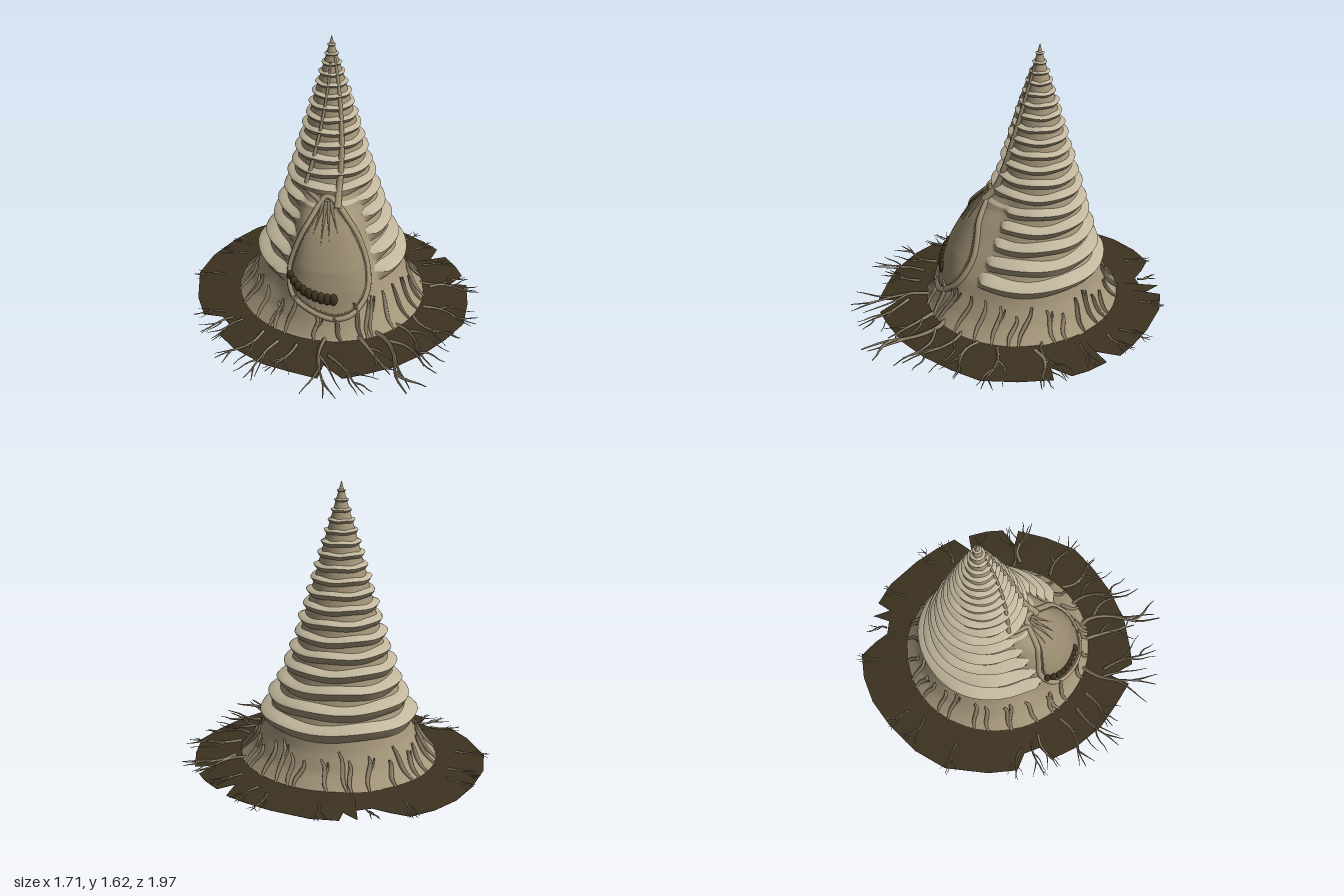
import * as THREE from 'three';

const V = (x, y, z) => new THREE.Vector3(x, y, z);
const mat = (name, color) => {
  const m = new THREE.MeshStandardMaterial({ color });
  m.name = name;
  return m;
};

// Piecewise linear lookup in [[key, value], ...]
function lookup(table, k) {
  if (k <= table[0][0]) return table[0][1];
  for (let i = 1; i < table.length; i++) {
    const [k0, v0] = table[i - 1], [k1, v1] = table[i];
    if (k <= k1) return v0 + (v1 - v0) * (k - k0) / (k1 - k0);
  }
  return table[table.length - 1][1];
}

// Shell rules: radius, centre line and the front swelling, all by height
const RADIUS = [[0, .59], [.03, .55], [.06, .52], [.1, .483], [.2, .428], [.3, .395], [.5, .31],
  [.7, .245], [1, .168], [1.3, .09], [1.62, 0]];
const CX = [[0, .02], [.3, .04], [.7, .06]];
const CZ = [[0, -.11], [.3, -.135], [.7, -.185], [1.62, -.19]];
const SWELL = [[.03, 0], [.1, .035], [.2, .065], [.3, .09], [.4, .115], [.5, .12], [.6, .105], [.7, .055], [.8, 0]];
const SWELL_AT = -.53, DOOR = -.45;
const wrap = a => Math.atan2(Math.sin(a), Math.cos(a));

// Point on the shell at angle a (0 = front, growing towards +x) and height y
function shellPoint(a, y, out = 0) {
  const d = wrap(a - SWELL_AT);
  const r = lookup(RADIUS, y) + out;
  const swell = lookup(SWELL, y) * Math.exp(-Math.pow(d / .6, 4));
  const zs = 1 + .06 * THREE.MathUtils.clamp(1 - y / .7, 0, 1);
  return V(lookup(CX, y) + Math.sin(a) * (r + swell), y,
    lookup(CZ, y) + Math.cos(a) * (r * zs + swell));
}

// Skin between closed rows of points
function loft(rows) {
  const n = rows[0].length, pos = [], idx = [];
  rows.forEach(row => row.forEach(p => pos.push(p.x, p.y, p.z)));
  for (let i = 0; i < rows.length - 1; i++)
    for (let j = 0; j < n; j++) {
      const k = (j + 1) % n, a = i * n + j, b = i * n + k, c = b + n, d = a + n;
      idx.push(a, b, c, a, c, d);
    }
  const g = new THREE.BufferGeometry();
  g.setAttribute('position', new THREE.Float32BufferAttribute(pos, 3));
  g.setIndex(idx);
  g.computeVertexNormals();
  return g;
}

// Tube whose radius follows shape(t)
function taperTube(points, radius, shape, seg = 12, sides = 6, closed = false) {
  const curve = new THREE.CatmullRomCurve3(points, closed);
  const g = new THREE.TubeGeometry(curve, seg, radius, sides, closed);
  const p = g.attributes.position, v = V(0, 0, 0);
  for (let i = 0; i <= seg; i++) {
    const c = curve.getPointAt(i / seg), s = shape(i / seg);
    for (let j = 0; j <= sides; j++) {
      const k = i * (sides + 1) + j;
      v.fromBufferAttribute(p, k).sub(c).multiplyScalar(s).add(c);
      p.setXYZ(k, v.x, v.y, v.z);
    }
  }
  g.computeVertexNormals();
  return g;
}

export function createModel() {
  const root = new THREE.Group();
  const shell = mat('shellTan', 0xa39579);
  const pale = mat('ridgeCream', 0xc2b79d);
  const plate = mat('plateTan', 0x988a6f);
  const fibre = mat('fibreTan', 0x8c7f67);
  const dark = mat('darkBrown', 0x3d3220);
  const add = (name, g, m, parent = root) => {
    const mesh = new THREE.Mesh(g, m);
    mesh.name = name;
    parent.add(mesh);
    return mesh;
  };
  const group = name => {
    const g = new THREE.Group();
    g.name = name;
    root.add(g);
    return g;
  };
  let seed = 7;
  const rnd = () => (seed = (seed * 16807) % 2147483647) / 2147483647;
  const N = 96, angles = Array.from({ length: N }, (_, i) => i / N * Math.PI * 2);

  // Conical shell with flared foot
  const levels = [];
  for (let i = 0; i <= 60; i++) levels.push(.012 + 1.608 * Math.pow(i / 60, 1.25));
  add('shell', loft(levels.map(y => angles.map(a => shellPoint(a, y)))), shell);

  // Overhanging ridges, fading out beside the door
  const ridges = group('ridges');
  for (let y = .315, step = .103; y < 1.57; y += step, step *= .956) {
    const h = lookup([[.3, .056], [.7, .04], [1, .029], [1.3, .02], [1.6, .008]], y);
    const low = 1 - THREE.MathUtils.smoothstep(y, .66, .78);
    const strip = (out, dy) => angles.map(a => {
      const d = Math.abs(wrap(a - DOOR));
      const f = 1 - low * (1 - THREE.MathUtils.smoothstep(d, .6, .8));
      const wave = h * .12 * Math.sin(a * 5 + y * 40);
      const reach = out > 0 ? out * h + wave : -.004;
      return shellPoint(a, y + dy * h + wave, reach * f - .006 * (1 - f));
    });
    add('ridgeUnderside', loft([strip(0, -1.1), strip(.3, -.75), strip(.7, -.35), strip(1, 0)]), shell, ridges);
    add('ridgeTop', loft([strip(1, 0), strip(.9, .22), strip(.45, .42), strip(0, .65)]), pale, ridges);
  }

  // Teardrop door: plate, raised rim and wrinkles
  const outline = [[-.62, .745], [-.82, .64], [-.99, .5], [-1.07, .37], [-1.0, .26], [-.72, .18],
    [-.42, .145], [-.2, .18], [-.02, .28], [.03, .4], [-.04, .53], [-.2, .65], [-.42, .735]];
  const loop = new THREE.CatmullRomCurve3(outline.map(([a, y]) => V(a, y, 0)), true).getPoints(60).slice(0, 60);
  const doorRing = s => loop.map(p => shellPoint(-.48 + (p.x + .48) * s, .4 + (p.y - .4) * s, .005));
  add('doorPlate', loft([1, .85, .7, .55, .4, .25, .1, .001].map(doorRing)), plate);
  add('doorRim', taperTube(doorRing(1), .017, () => 1, 120, 8, true), shell);
  add('doorInnerRim', taperTube(doorRing(.91), .005, () => 1, 100, 5, true), fibre);
  const wrinkles = group('doorWrinkles');
  [[-.74, .58], [-.62, .53], [-.5, .55], [-.38, .59]].forEach(([a, y]) => {
    const pts = [0, .33, .67, 1].map(t => shellPoint(-.55 + (a + .55) * (.4 + .6 * t), .73 + (y - .73) * t, .006));
    add('wrinkle', taperTube(pts, .011, t => 1.05 - t), fibre, wrinkles);
  });

  // Dark overlapping bumps at the lower edge of the door
  const bumps = group('bumps');
  for (let i = 0; i < 9; i++) {
    const t = i / 8, a = -1.02 + .56 * t;
    const b = add('bump', new THREE.SphereGeometry(.03, 10, 8), dark, bumps);
    b.position.copy(shellPoint(a, .25 + .08 * Math.pow(1 - t, 1.8), .003));
    b.scale.set(.85, 1.25, .75);
    b.rotation.z = .5 * (1 - t);
  }

  // Two cords climbing from the door and sinking in near the tip
  const cord = pts => pts.map(([a, y]) => shellPoint(a, y, lookup([[.7, .014], [1.1, .014], [1.5, .002]], y)));
  add('mainCord', taperTube(cord([[-.36, .7], [-.3, .78], [-.2, .92], [-.1, 1.1], [0, 1.3], [.1, 1.5]]),
    .022, t => 1 - .65 * t, 50, 8), shell);
  add('sideCord', taperTube(cord([[-.7, .73], [-1.1, .78], [-1.05, .9], [-.9, 1.1], [-.75, 1.3], [-.6, 1.48]]),
    .014, t => 1 - .6 * t, 50, 7), shell);

  // Slender folds running down the flared foot, some of them forked
  const folds = group('footFolds');
  for (let i = 0; i < 34; i++) {
    const a = (i + rnd() * .8) / 34 * Math.PI * 2, top = .15 + rnd() * .1, lean = (rnd() - .5) * .22;
    const at = (t, side = 0) => shellPoint(a + lean * t + side + .02 * Math.sin(t * 6), top + (.028 - top) * t,
      .006 + .016 * Math.pow(1 - t, 4));
    add('fold', taperTube([0, .25, .5, .75, 1].map(t => at(t)), .013,
      t => .25 + .8 * Math.sin(Math.PI * (.08 + .84 * t))), fibre, folds);
    if (i % 3 === 0)
      add('foldFork', taperTube([at(.55), at(.3, .035), at(.1, .06)], .01, t => 1 - .6 * t, 8, 5), fibre, folds);
  }

  // Ragged dark skirt around the foot
  const edge = [[.05, -.99], [.2, -.97], [.26, -.87], [.3, -.78], [.38, -.75], [.44, -.84], [.45, -.73],
    [.52, -.79], [.63, -.68], [.74, -.48], [.8, -.32], [.83, -.2], [.72, -.11], [.83, -.1], [.83, .03],
    [.81, .13], [.69, .18], [.78, .23], [.68, .4], [.55, .56], [.38, .64], [.2, .7], [0, .73], [-.2, .71],
    [-.31, .69], [-.35, .54], [-.43, .63], [-.55, .5], [-.65, .38], [-.74, .18], [-.77, .02], [-.68, -.03],
    [-.69, -.13], [-.78, -.2], [-.75, -.38], [-.65, -.63], [-.5, -.78], [-.3, -.9], [-.12, -.97]].reverse();
  const outer = y => edge.map(([x, z]) => V(x, y, z));
  const inner = (r, y) => edge.map(([x, z]) => {
    const a = Math.atan2(x - .02, z + .11);
    return V(.02 + Math.sin(a) * r, y, -.11 + Math.cos(a) * r * 1.06);
  });
  add('skirtTop', loft([outer(.001), outer(.004), inner(.53, .033)]), dark);
  add('skirtUnderside', loft([inner(.57, .022), outer(.001)]), dark);
  add('footSole', loft([inner(.5, .001), inner(.57, .022)]), shell);
  add('soleCentre', loft([inner(.001, .001), inner(.5, .001)]), dark);

  // Wispy rootlets over the skirt: start x, z, end x, z, radius
  const rootlets = group('rootlets');
  const branch = (x0, z0, x1, z1, r, depth) => {
    const dx = x1 - x0, dz = z1 - z0, w = (rnd() - .5) * .25;
    const at = t => {
      const s = w * Math.sin(t * Math.PI * 1.6);
      const x = x0 + dx * t - dz * s, z = z0 + dz * t + dx * s;
      const d = Math.hypot(x - .02, (z + .11) / 1.06);
      return V(x, THREE.MathUtils.clamp(.034 - (d - .53) * .1, .004, .034) + r * .3 * (1 - t), z);
    };
    add('rootlet', taperTube([0, .25, .5, .75, 1].map(at), r, t => 1 - .8 * t, 12, 5), fibre, rootlets);
    if (!depth) return;
    [.3, .5, .7].forEach((t, k) => {
      const p = at(t), turn = (k % 2 ? 1 : -1) * (.3 + rnd() * .25), l = .62 - .14 * k;
      const c = Math.cos(turn) * l, s = Math.sin(turn) * l;
      branch(p.x, p.z, p.x + dx * c - dz * s, p.z + dz * c + dx * s, r * .6, depth - 1);
    });
  };
  [[-.03, .36, .01, .95, .019], [-.08, .44, -.06, .78, .014], [.14, .38, .22, .82, .013], [.3, .4, .42, .68, .01],
    [.4, .34, .63, .58, .011], [.54, .18, .82, .3, .011], [.5, .1, .8, .2, .01], [-.25, .36, -.5, .78, .014],
    [-.3, .5, -.25, .86, .011], [-.42, .34, -.66, .46, .011], [-.5, .26, -.8, .44, .011], [-.54, .14, -.86, .24, .011],
    [-.6, -.02, -.83, .03, .008], [-.64, -.07, -.86, -.06, .008], [-.66, -.14, -.82, -.24, .007],
    [-.52, -.52, -.68, -.64, .007], [-.31, -.68, -.42, -.83, .007], [-.24, -.76, -.3, -.91, .007],
    [.13, -.84, .2, -1, .007], [.33, -.77, .36, -.9, .007], [.52, -.61, .62, -.73, .007],
    [.66, -.34, .82, -.44, .007], [.66, -.25, .84, -.28, .007], [.64, -.06, .83, -.02, .007]
  ].forEach(b => branch(...b, 1));

  return root;
}
